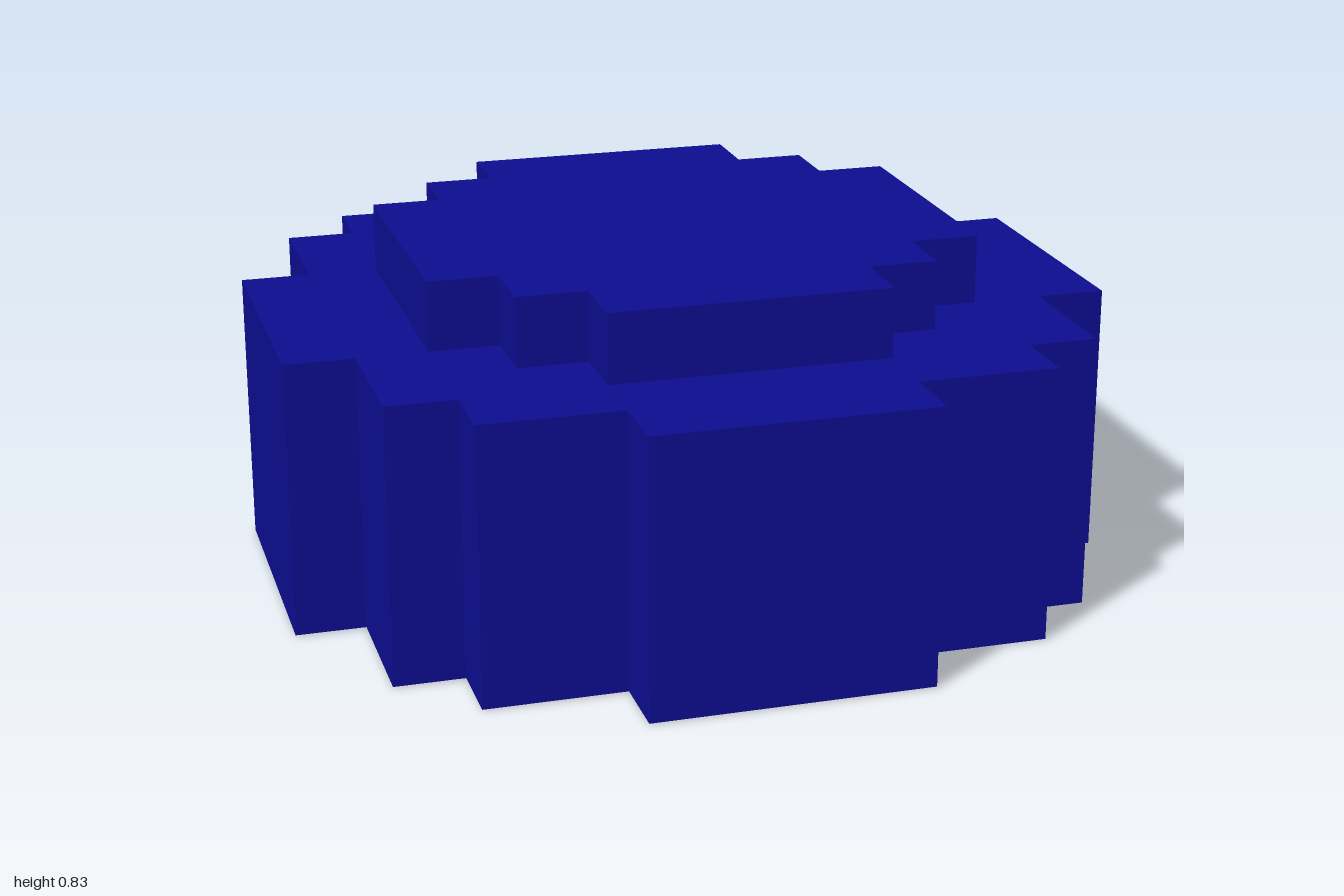
import * as THREE from 'three';

const U = 1 / 6; // one step of the blocky grid

// Stepped round outline from quarter-corner points, mirrored into all four quadrants
function steppedOutline(quarter) {
  const back = [...quarter].reverse();
  return [
    ...quarter,
    ...back.map(([x, z]) => [-x, z]),
    ...quarter.map(([x, z]) => [-x, -z]),
    ...back.map(([x, z]) => [x, -z]),
  ];
}

// Upright prism from an outline in grid steps, standing between two heights
function prism(name, outline, bottom, top, material) {
  const shape = new THREE.Shape(outline.map(([x, z]) => new THREE.Vector2(x * U, z * U)));
  const geometry = new THREE.ExtrudeGeometry(shape, { depth: top - bottom, bevelEnabled: false });
  geometry.rotateX(-Math.PI / 2).translate(0, bottom, 0);
  const mesh = new THREE.Mesh(geometry, material);
  mesh.name = name;
  return mesh;
}

export function createModel() {
  const blue = new THREE.MeshStandardMaterial({ color: 0x0d0d90 });
  blue.name = 'deep blue';
  const grey = new THREE.MeshStandardMaterial({ color: 0x4c4c4c });
  grey.name = 'dark grey';

  const group = new THREE.Group();
  group.name = 'steppedDome';

  // Wide lower tier
  const body = steppedOutline([[6, 2], [5, 2], [5, 4], [4, 4], [4, 5], [2, 5], [2, 6]]);
  group.add(prism('lowerTier', body, 0.002, 4 * U, blue));

  // Narrow upper tier
  const cap = steppedOutline([[4, 2], [3, 2], [3, 3], [2, 3], [2, 4]]);
  group.add(prism('upperTier', cap, 4 * U, 5 * U, blue));

  // Underside panel: a square with a wide tab on +x and a narrow tab on -x
  const panel = [
    [4, -4], [4, -2], [5, -2], [5, 2], [4, 2], [4, 4],
    [-4, 4], [-4, 1], [-5, 1], [-5, -1], [-4, -1], [-4, -4],
  ];
  group.add(prism('undersidePanel', panel, 0, 0.004, grey));

  return group;
}
